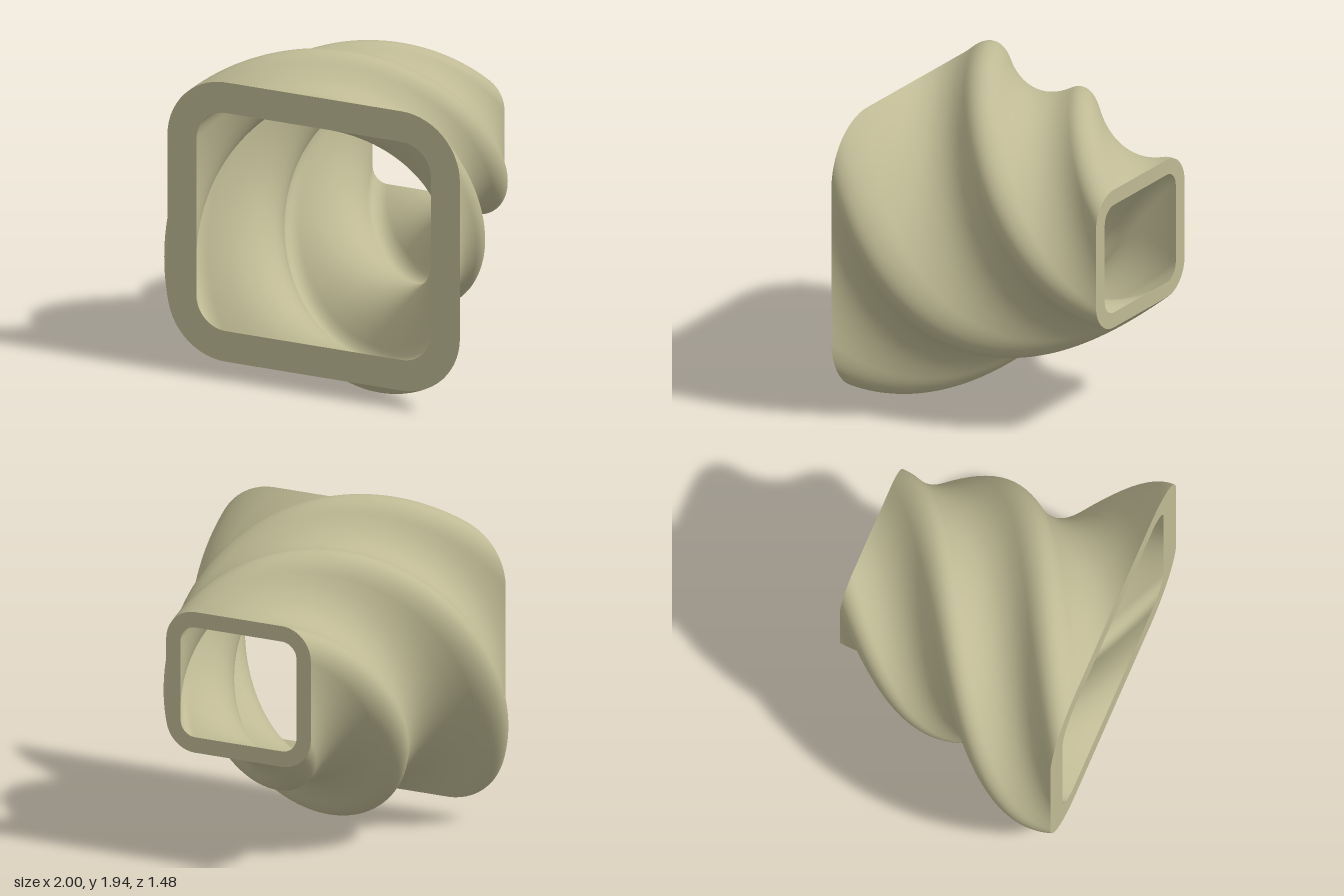
import * as THREE from 'three';

const DEPTH = 1.48, STEPS = 150, TWIST = -Math.PI, TAPER = 0.5;
const AXIS = { x: 0.035, y: 1.038 };   // line the section twists and shrinks around
const OFFSET_Y = -0.093;               // section centre relative to that line
const WIDTH = 1.85, HEIGHT = 1.67, RADIUS = 0.37, WALL = 0.183;
const ARC = 14, SIDE = 8;              // divisions per corner and per flat side

// Counter-clockwise rounded rectangle, inset from the outer outline
function section(inset) {
  const r = RADIUS - inset, cx = WIDTH / 2 - RADIUS, cy = HEIGHT / 2 - RADIUS;
  const corners = [[cx, cy], [-cx, cy], [-cx, -cy], [cx, -cy]];
  const points = [];
  corners.forEach(([x, y], k) => {
    for (let i = 0; i <= ARC; i++) {
      const a = (k + i / ARC) * Math.PI / 2;
      points.push(new THREE.Vector2(x + r * Math.cos(a), y + r * Math.sin(a)));
    }
    // flat side up to the next corner
    const [nx, ny] = corners[(k + 1) % 4], a = (k + 1) * Math.PI / 2;
    const start = points[points.length - 1];
    const end = new THREE.Vector2(nx + r * Math.cos(a), ny + r * Math.sin(a));
    for (let i = 1; i < SIDE; i++) points.push(start.clone().lerp(end, i / SIDE));
  });
  return points;
}

// Section placed at t = 0 (front) to 1 (back): shrunk, turned and moved back
function ring(points, t) {
  const scale = 1 + (TAPER - 1) * t, c = Math.cos(TWIST * t), s = Math.sin(TWIST * t);
  return points.map((p) => {
    const x = p.x * scale, y = (p.y + OFFSET_Y) * scale;
    return new THREE.Vector3(AXIS.x + x * c - y * s, AXIS.y + x * s + y * c, DEPTH * (0.5 - t));
  });
}

// Smooth skin over a list of closed rings
function loft(rings) {
  const n = rings[0].length, index = [];
  for (let j = 0; j < rings.length - 1; j++) {
    for (let i = 0; i < n; i++) {
      const a = j * n + i, b = j * n + (i + 1) % n;
      index.push(a, a + n, b, b, a + n, b + n);
    }
  }
  const geometry = new THREE.BufferGeometry().setFromPoints(rings.flat());
  geometry.setIndex(index);
  geometry.computeVertexNormals();
  return geometry;
}

export function createModel() {
  const group = new THREE.Group();
  group.name = 'twistedTube';
  const material = new THREE.MeshStandardMaterial({ color: 0xbfba94 });
  const add = (name, rings) => {
    const mesh = new THREE.Mesh(loft(rings), material);
    mesh.name = name;
    group.add(mesh);
  };

  const outer = section(0), inner = section(WALL);
  const wall = (points) => Array.from({ length: STEPS + 1 }, (_, j) => ring(points, j / STEPS));

  // Outer and inner walls, then the flat rims joining them
  add('outerWall', wall(outer));
  add('innerWall', wall(inner).reverse());
  add('frontRim', [ring(inner, 0), ring(outer, 0)]);
  add('backRim', [ring(outer, 1), ring(inner, 1)]);
  return group;
}
